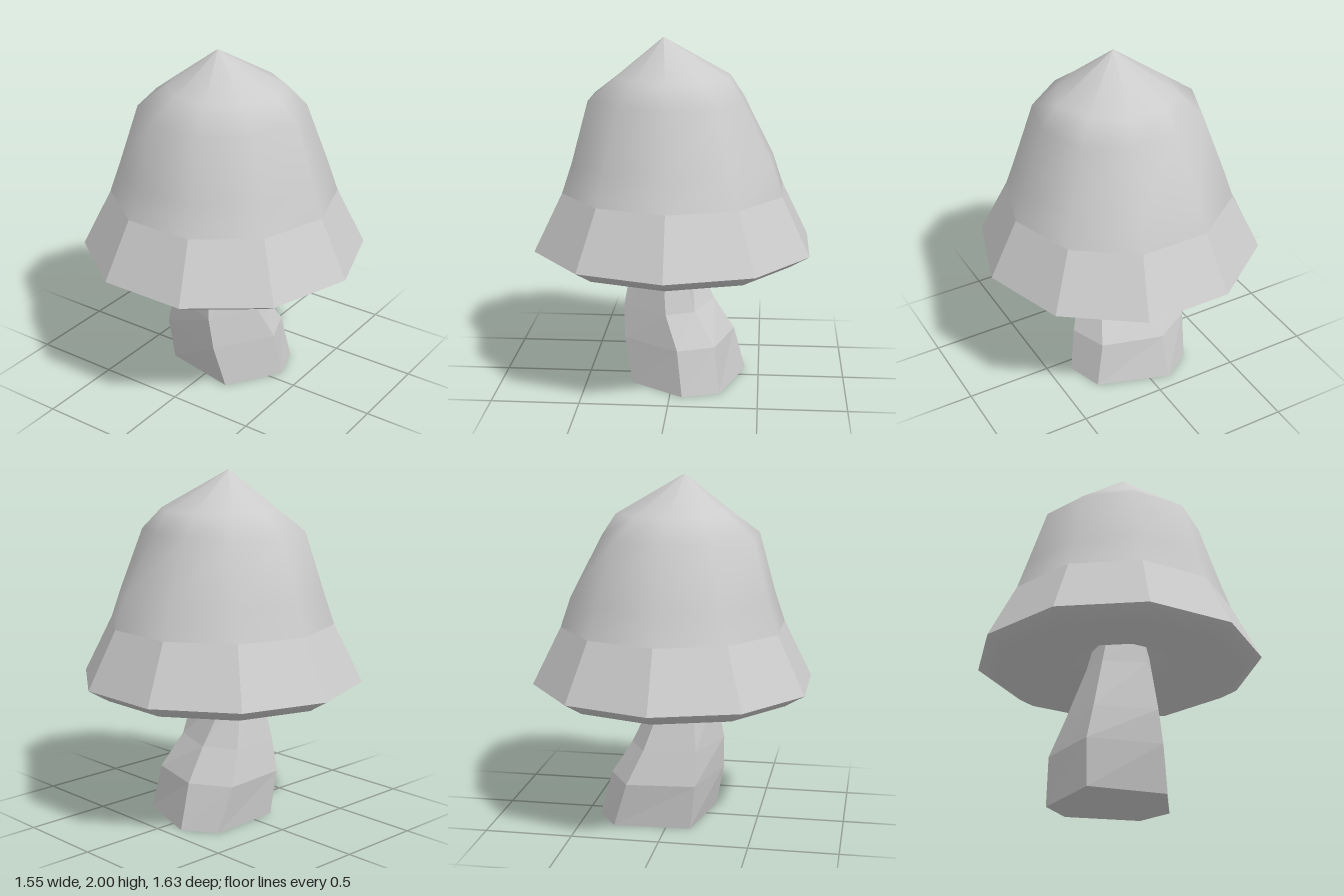
import * as THREE from 'three';

const SIDES = 10;

// Skin a stack of closed rings (each an array of [x, y, z], running from +z towards +x).
function loft(rings, flat, closeStart = false) {
  const n = rings[0].length, index = [];
  for (let i = 0; i < rings.length - 1; i++) {
    for (let j = 0; j < n; j++) {
      const a = i * n + j, b = i * n + (j + 1) % n;
      index.push(a, b, b + n, a, b + n, a + n);
    }
  }
  if (closeStart) for (let j = 1; j < n - 1; j++) index.push(0, j + 1, j);
  let geo = new THREE.BufferGeometry();
  geo.setAttribute('position', new THREE.Float32BufferAttribute(rings.flat(2), 3));
  geo.setIndex(index);
  if (flat) geo = geo.toNonIndexed();
  geo.computeVertexNormals();
  return geo;
}

// Ten-sided ring; radius may be one number or one per corner.
function ring(y, radius, cx = 0) {
  return Array.from({ length: SIDES }, (_, j) => {
    const r = Array.isArray(radius) ? radius[j] : radius;
    const t = (j / SIDES) * Math.PI * 2;
    return [cx + r * Math.sin(t), y, r * Math.cos(t)];
  });
}

function part(name, geometry, flatShading = false) {
  const material = new THREE.MeshStandardMaterial({ color: 0xcccccc, flatShading, side: THREE.DoubleSide });
  const mesh = new THREE.Mesh(geometry, material);
  mesh.name = name;
  return mesh;
}

export function createModel() {
  const group = new THREE.Group();
  group.name = 'mushroom';

  // Smooth dome with a lopsided shoulder and an off-centre tip
  group.add(part('capDome', loft([
    ring(1.14, 0.65),
    ring(1.31, 0.592),
    ring(1.66, [0.47, 0.46, 0.41, 0.41, 0.46, 0.475, 0.48, 0.495, 0.495, 0.48]),
    ring(1.78, [0.37, 0.36, 0.35, 0.35, 0.33, 0.31, 0.31, 0.315, 0.315, 0.32], -0.02),
    ring(2, 0.0005, -0.06),
  ])));

  // Faceted skirt of the cap
  group.add(part('capSkirt', loft([ring(0.81, 0.815), ring(1.14, 0.65)], true), true));

  // Lip and hollow underside
  group.add(part('capUnderside', loft([
    ring(0.9, 0.1, -0.07), ring(0.79, 0.3, -0.03), ring(0.74, 0.7), ring(0.81, 0.815),
  ])));

  // Crooked six-sided stem: one [x, z] outline per height
  const outlines = [
    [0, [[0.07, 0.37], [0.28, 0.3], [0.42, -0.11], [0.3, -0.29], [-0.14, -0.27], [-0.23, 0.17]]],
    [0.26, [[0.04, 0.33], [0.25, 0.25], [0.35, -0.1], [0.22, -0.32], [-0.17, -0.29], [-0.28, 0.12]]],
    [0.45, [[-0.03, 0.26], [0.13, 0.19], [0.23, -0.09], [0.13, -0.27], [-0.17, -0.25], [-0.285, 0.09]]],
    [0.74, [[-0.05, 0.2], [0.06, 0.15], [0.09, -0.14], [0.03, -0.19], [-0.14, -0.18], [-0.235, 0.05]]],
    [0.92, [[-0.06, 0.16], [0.03, 0.12], [0.05, -0.11], [0, -0.15], [-0.13, -0.14], [-0.21, 0.04]]],
  ];
  const stemRings = outlines.map(([y, pts]) => pts.map(([x, z]) => [x, y, z]));
  group.add(part('stem', loft(stemRings, true, true), true));

  return group;
}
